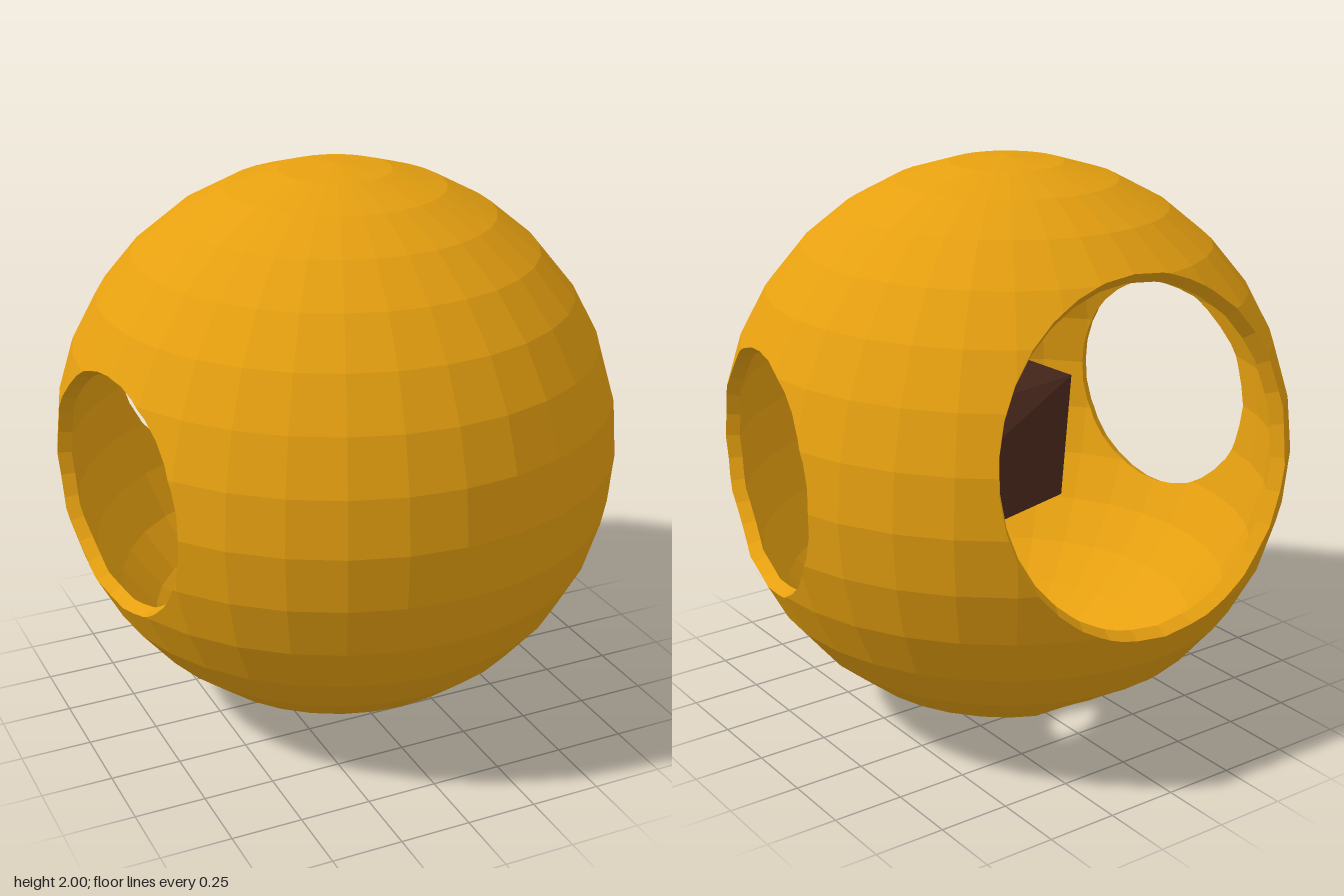
import * as THREE from 'three';
import { ConvexGeometry } from 'three/addons/geometries/ConvexGeometry.js';

const INNER = 0.95; // inner radius relative to the outer one
const RIM_SIDES = 32;
const deg = THREE.MathUtils.degToRad;

// Round opening: planes through the sphere's centre forming a narrow cone around an axis
function opening(axis, halfAngle) {
  const dir = new THREE.Vector3(...axis).normalize();
  const turn = new THREE.Quaternion().setFromUnitVectors(new THREE.Vector3(0, 0, 1), dir);
  const ray = (i) => {
    const a = (i / RIM_SIDES) * Math.PI * 2;
    const s = Math.sin(deg(halfAngle));
    return new THREE.Vector3(Math.cos(a) * s, Math.sin(a) * s, Math.cos(deg(halfAngle))).applyQuaternion(turn);
  };
  const planes = [];
  for (let i = 0; i < RIM_SIDES; i++) planes.push(ray(i).cross(ray(i + 1)).normalize());
  return planes;
}

// Part of a polygon on the positive side of a plane through the centre
function clip(poly, n, sign) {
  const out = [];
  poly.forEach((p, i) => {
    const q = poly[(i + 1) % poly.length];
    const dp = p.dot(n) * sign;
    const dq = q.dot(n) * sign;
    if (dp >= -1e-9) out.push(p);
    if ((dp > 1e-9 && dq < -1e-9) || (dp < -1e-9 && dq > 1e-9)) out.push(p.clone().lerp(q, dp / (dp - dq)));
  });
  return out;
}

// Cuts an opening out of the facets; returns remaining facets and the rim edges
function cut(facets, planes) {
  const kept = [];
  const rim = [];
  for (const facet of facets) {
    if (planes.some((n) => facet.every((p) => p.dot(n) <= 1e-9))) {
      kept.push(facet);
      continue;
    }
    const pieces = [];
    let rest = facet;
    for (const n of planes) {
      if (rest.some((p) => p.dot(n) < -1e-9)) {
        const outside = clip(rest, n, -1);
        if (outside.length > 2) pieces.push(outside);
        rest = clip(rest, n, 1);
        if (rest.length < 3) break;
      }
    }
    if (rest.length < 3) {
      kept.push(facet);
      continue;
    }
    kept.push(...pieces);
    rest.forEach((p, i) => {
      const q = rest[(i + 1) % rest.length];
      if (planes.some((n) => Math.abs(p.dot(n)) < 1e-7 && Math.abs(q.dot(n)) < 1e-7)) rim.push([p, q]);
    });
  }
  return { kept, rim };
}

function facetGeometry(polys) {
  const pts = [];
  for (const poly of polys) {
    for (let i = 1; i < poly.length - 1; i++) pts.push(poly[0], poly[i], poly[i + 1]);
  }
  const geo = new THREE.BufferGeometry().setFromPoints(pts);
  geo.computeVertexNormals();
  return geo;
}

export function createModel() {
  const group = new THREE.Group();
  group.name = 'hollowSphere';
  const body = new THREE.Group();
  body.position.set(0, 1, -0.06);
  group.add(body);
  const orange = new THREE.MeshStandardMaterial({ color: 0xe6a010, flatShading: true, side: THREE.DoubleSide });
  const brown = new THREE.MeshStandardMaterial({ color: 0x4a291d, flatShading: true });
  const add = (name, geo, material) => {
    const mesh = new THREE.Mesh(geo, material);
    mesh.name = name;
    body.add(mesh);
  };

  // Faceted ball as a list of triangles
  const pos = new THREE.SphereGeometry(1, 32, 16).toNonIndexed().attributes.position;
  let facets = [];
  for (let i = 0; i < pos.count; i += 3) {
    facets.push([0, 1, 2].map((k) => new THREE.Vector3().fromBufferAttribute(pos, i + k)));
  }

  // Two side openings, a large one at the back and a small one below it
  const c = Math.cos(deg(10));
  const s = Math.sin(deg(10));
  const openings = [
    ['leftRim', [c, 0, s], 25.2],
    ['rightRim', [-c, 0, s], 25.2],
    ['backRim', [0, s, -c], 36.6],
    ['lowerRim', [0, -Math.sin(deg(60)), -0.5], 13.7],
  ];
  for (const [name, axis, halfAngle] of openings) {
    const { kept, rim } = cut(facets, opening(axis, halfAngle));
    facets = kept;
    // Wall thickness seen around the opening
    const walls = rim.map(([p, q]) => [p, q, q.clone().multiplyScalar(INNER), p.clone().multiplyScalar(INNER)]);
    add(name, facetGeometry(walls), orange);
  }
  add('outerShell', facetGeometry(facets), orange);
  add('innerShell', facetGeometry(facets.map((f) => f.map((p) => p.clone().multiplyScalar(INNER)).reverse())), orange);

  // Angular lump resting against the inside of the front wall
  const lump = [
    [0.58, -0.62, 0.33], [-0.73, -0.05, 0.56], [0, -0.12, 0.57], [-0.4, 0.1, 0.75],
    [0, -0.6, 0.7], [-0.6, -0.5, 0.45], [0.35, -0.5, 0.7],
  ].map((p) => new THREE.Vector3(...p));
  add('innerLump', new ConvexGeometry(lump), brown);
  return group;
}
